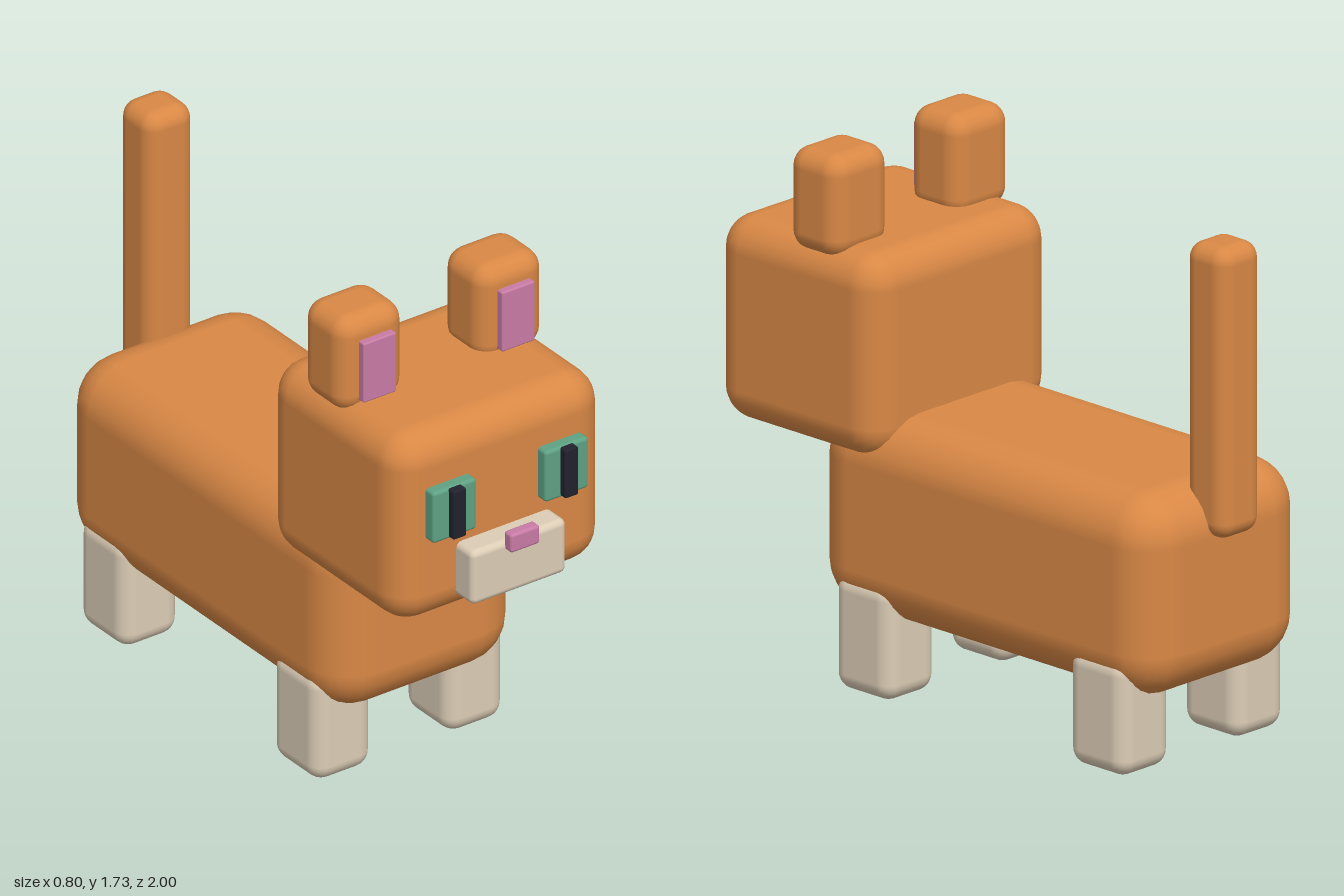
import * as THREE from 'three';
import { RoundedBoxGeometry } from 'three/addons/geometries/RoundedBoxGeometry.js';

function material(name, color) {
  const m = new THREE.MeshStandardMaterial({ color });
  m.name = name;
  return m;
}

export function createModel() {
  const cat = new THREE.Group();
  cat.name = 'cat';
  const orange = material('orange fur', 0xd98845);
  const cream = material('cream fur', 0xdccdb6);
  const pink = material('pink skin', 0xc87ba6);
  const green = material('green eye', 0x5fa284);
  const black = material('black pupil', 0x22222e);

  // Rounded block given by its extents along each axis
  function block(name, mat, [x0, x1], [y0, y1], [z0, z1], radius) {
    const geometry = new RoundedBoxGeometry(x1 - x0, y1 - y0, z1 - z0, 3, radius);
    const mesh = new THREE.Mesh(geometry, mat);
    mesh.position.set((x0 + x1) / 2, (y0 + y1) / 2, (z0 + z1) / 2);
    mesh.name = name;
    cat.add(mesh);
  }

  // Matching blocks on both sides
  function pair(name, mat, [x0, x1], y, z, radius) {
    block('left' + name, mat, [x0, x1], y, z, radius);
    block('right' + name, mat, [-x1, -x0], y, z, radius);
  }

  // Body, head and upright tail
  block('body', orange, [-0.36, 0.36], [0.24, 0.905], [-0.94, 0.51], 0.16);
  block('head', orange, [-0.4, 0.4], [0.77, 1.435], [0.19, 0.885], 0.11);
  block('tail', orange, [-0.09, 0.09], [0.74, 1.685], [-1, -0.825], 0.055);

  // Legs
  pair('FrontLeg', cream, [0.14, 0.36], [0, 0.38], [0.165, 0.41], 0.055);
  pair('BackLeg', cream, [0.14, 0.36], [0, 0.38], [-0.835, -0.59], 0.055);

  // Ears with pink insides
  pair('Ear', orange, [0.14, 0.39], [1.39, 1.725], [0.36, 0.58], 0.065);
  pair('InnerEar', pink, [0.2, 0.325], [1.44, 1.65], [0.56, 0.605], 0.006);

  // Face
  pair('Eye', green, [0.13, 0.295], [1.08, 1.26], [0.86, 0.925], 0.012);
  pair('Pupil', black, [0.187, 0.237], [1.087, 1.257], [0.91, 0.95], 0.006);
  block('muzzle', cream, [-0.18, 0.18], [0.84, 1.03], [0.86, 0.97], 0.022);
  block('nose', pink, [-0.055, 0.055], [1.0, 1.065], [0.96, 1.0], 0.01);

  return cat;
}
